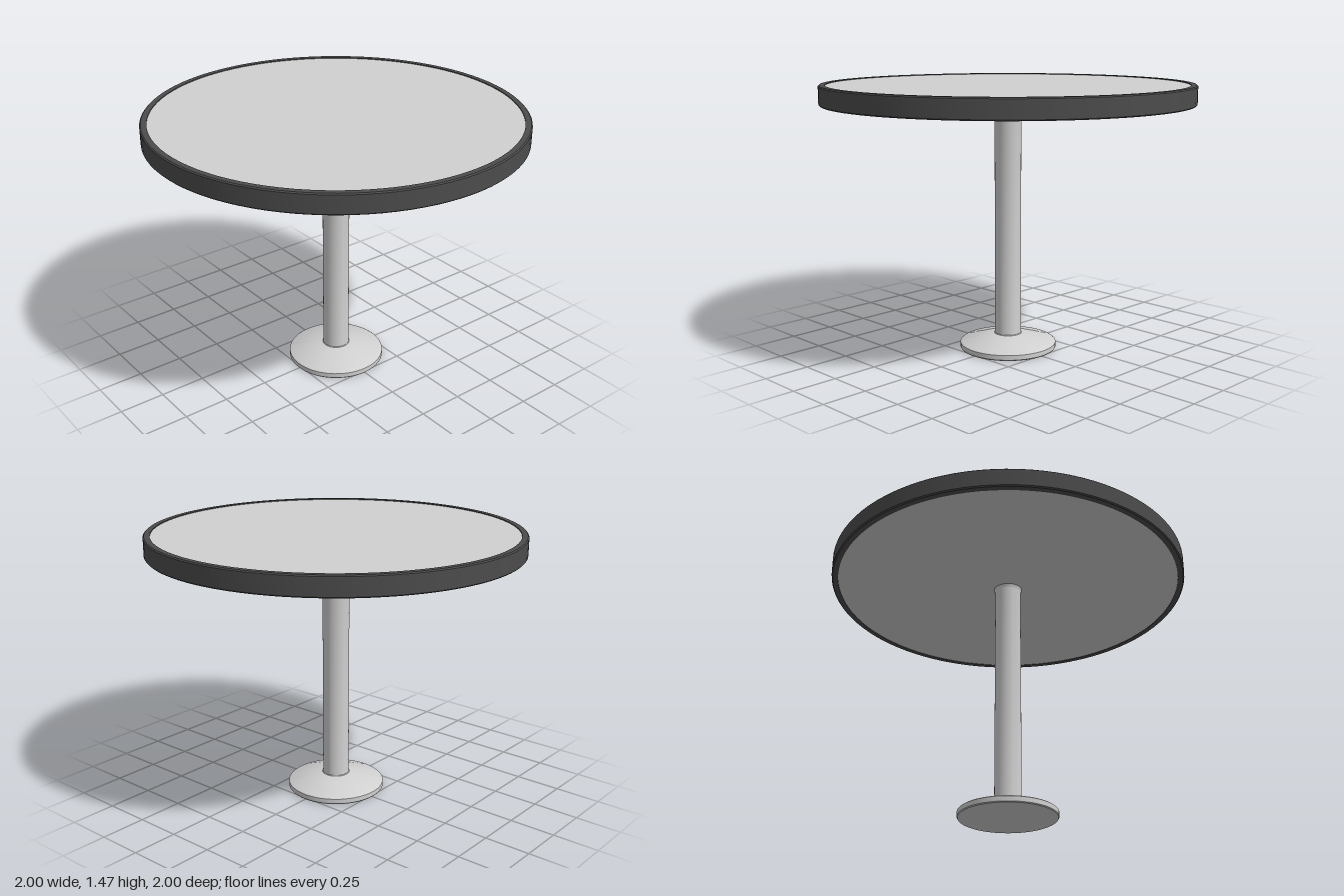
import * as THREE from 'three';
import { toCreasedNormals } from 'three/addons/utils/BufferGeometryUtils.js';

export function createModel() {
  const group = new THREE.Group();
  const lightGrey = new THREE.MeshStandardMaterial({ name: 'lightGrey', color: 0xd0d0d0 });
  const darkGrey = new THREE.MeshStandardMaterial({ name: 'darkGrey', color: 0x4c4c4c });

  // Turns a profile of [radius, height] points around the y axis, bottom to top.
  function turned(name, profile, material, segments) {
    const points = profile.map(([r, y]) => new THREE.Vector2(r, y));
    const geometry = toCreasedNormals(new THREE.LatheGeometry(points, segments), 0.5);
    const mesh = new THREE.Mesh(geometry, material);
    mesh.name = name;
    group.add(mesh);
  }

  // Floor flange: thin edge, then a shallow cone up to the column
  turned('baseFlange', [
    [0, 0], [0.262, 0], [0.266, 0.005], [0.266, 0.031], [0.258, 0.037], [0.08, 0.08], [0.06, 0.082],
  ], lightGrey, 64);

  // Column with a small flare where it meets the flange and the top
  turned('column', [
    [0.078, 0.078], [0.073, 0.084], [0.072, 0.095],
    [0.072, 1.34], [0.074, 1.352], [0.08, 1.365],
  ], lightGrey, 48);

  // Round table top, set just inside the edge band
  turned('tableTop', [
    [0, 1.363], [0.967, 1.363], [0.967, 1.46], [0, 1.46],
  ], lightGrey, 96);

  // Dark edge band with softened corners, closed all round
  turned('edgeBand', [
    [0.964, 1.365], [0.964, 1.36], [0.994, 1.36], [1, 1.366],
    [1, 1.459], [0.994, 1.465], [0.964, 1.465], [0.964, 1.458],
  ], darkGrey, 96);

  return group;
}
